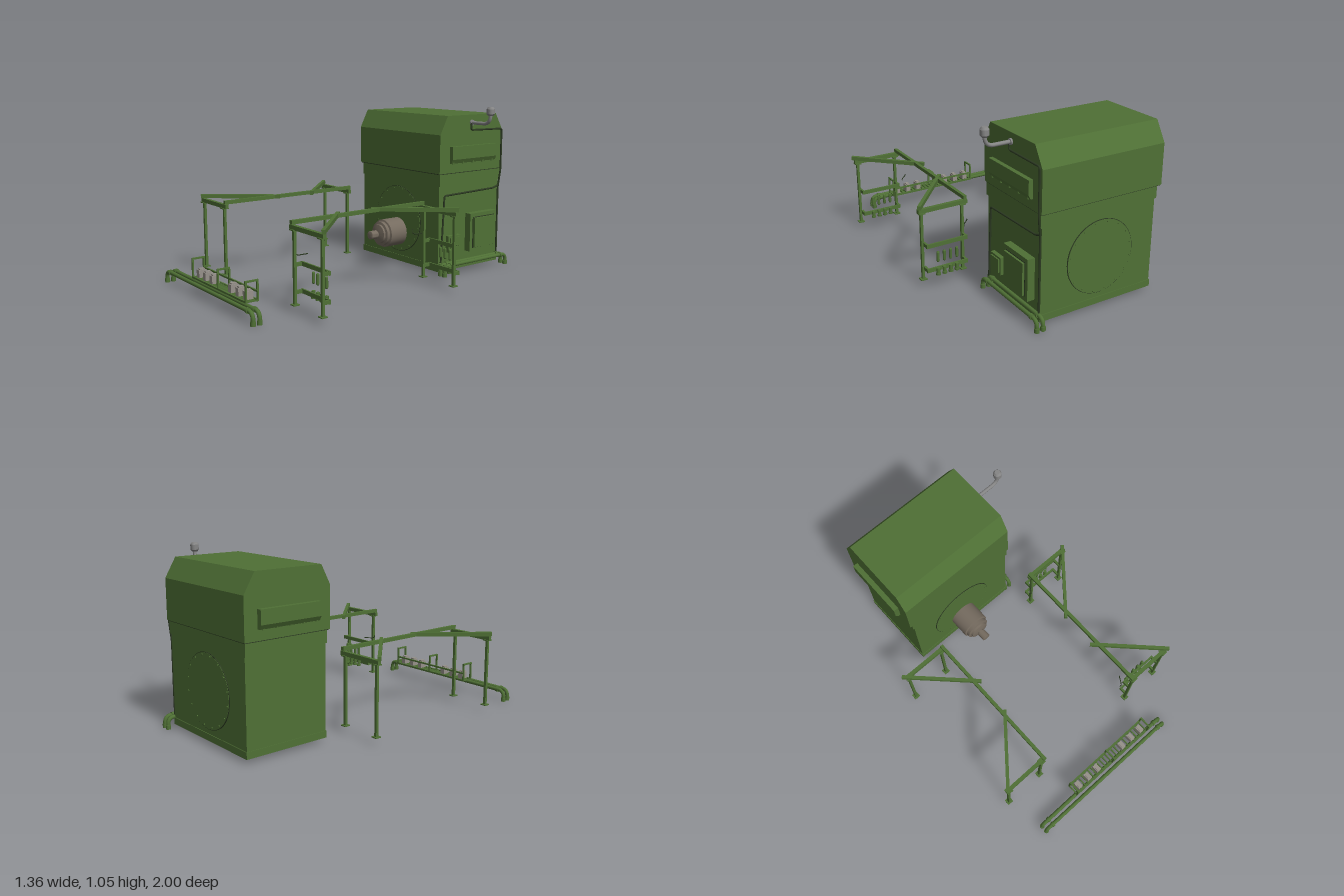
import * as THREE from 'three';
import { toCreasedNormals } from 'three/addons/utils/BufferGeometryUtils.js';

const paint = (color) => new THREE.MeshStandardMaterial({ color });
const GREEN = paint(0x4f7035), BROWN = paint(0x756b5f), GREY = paint(0x858585), STONE = paint(0x96918a), DARK = paint(0x2c3a22);
const V = (x, y, z) => new THREE.Vector3(x, y, z);

function add(parent, name, geometry, material = GREEN, x = 0, y = 0, z = 0) {
  const mesh = new THREE.Mesh(geometry, material);
  mesh.name = name;
  mesh.position.set(x, y, z);
  parent.add(mesh);
  return mesh;
}
function group(parent, name) {
  const g = new THREE.Group();
  g.name = name;
  parent.add(g);
  return g;
}
// Box given by its limits on each axis
const box = (p, name, x0, x1, y0, y1, z0, z1, m) =>
  add(p, name, new THREE.BoxGeometry(x1 - x0, y1 - y0, z1 - z0), m, (x0 + x1) / 2, (y0 + y1) / 2, (z0 + z1) / 2);
// Square bar between two points
function bar(p, name, a, b, w = 0.022, h = w, m) {
  const mesh = add(p, name, new THREE.BoxGeometry(w, h, a.distanceTo(b)), m);
  mesh.position.copy(a).lerp(b, 0.5);
  mesh.lookAt(b);
  return mesh;
}
const cyl = (p, name, r, h, x, y, z, m, n = 16) => add(p, name, new THREE.CylinderGeometry(r, r, h, n), m, x, y, z);

// Path of straight runs with rounded corners
function roundedPath(pts, r) {
  const path = new THREE.CurvePath();
  let last = pts[0];
  for (let i = 1; i < pts.length - 1; i++) {
    const inn = pts[i].clone().add(pts[i - 1].clone().sub(pts[i]).setLength(r));
    const out = pts[i].clone().add(pts[i + 1].clone().sub(pts[i]).setLength(r));
    path.add(new THREE.LineCurve3(last, inn));
    path.add(new THREE.QuadraticBezierCurve3(inn, pts[i], out));
    last = out;
  }
  path.add(new THREE.LineCurve3(last, pts[pts.length - 1]));
  return path;
}
const pipe = (p, name, pts, r, bend, m, seg = 150) =>
  add(p, name, new THREE.TubeGeometry(roundedPath(pts, bend), seg, r, 10), m);

// Outline in (z, y) pushed along x from x0 to x1
function extrudeX(p, name, outline, x0, x1) {
  const s = new THREE.Shape(outline.map(([z, y]) => new THREE.Vector2(-z, y)));
  const g = new THREE.ExtrudeGeometry(s, { depth: x1 - x0, bevelEnabled: false });
  return add(p, name, g.rotateY(Math.PI / 2), GREEN, x0, 0, 0);
}

// Floor pipe along one axis, elbows turned down at both ends, with collars
function floorPipe(p, a, b) {
  const g = group(p, 'floorPipe');
  const foot = (v) => V(v.x, 0.004, v.z);
  pipe(g, 'pipe', [foot(a), a, b, foot(b)], 0.012, 0.04, GREEN, 200);
  const dir = b.clone().sub(a).normalize();
  for (const [end, s] of [[a, 1], [b, -1]]) {
    cyl(g, 'footCollar', 0.015, 0.024, end.x, 0.012, end.z);
    const c = cyl(g, 'elbowCollar', 0.016, 0.016, 0, 0, 0);
    c.position.copy(end).addScaledVector(dir, s * 0.05);
    c.quaternion.setFromUnitVectors(V(0, 1, 0), dir);
  }
}

function buildMachine(root) {
  const g = group(root, 'machine');
  box(g, 'base', -0.432, 0.32, 0.025, 0.065, -0.947, -0.416);
  box(g, 'body', -0.428, 0.315, 0.065, 0.57, -0.943, -0.42);
  box(g, 'collarBand', -0.438, 0.325, 0.565, 0.643, -0.947, -0.416);
  extrudeX(g, 'hood', [[-0.408, 0.645], [-0.408, 0.885], [-0.468, 1], [-0.892, 1], [-0.96, 0.885], [-0.96, 0.645]], -0.455, 0.33);
  box(g, 'hoodSeam', -0.45, 0.326, 0.64, 0.648, -0.955, -0.412, DARK);

  // Round covers with bolt rings, front and back
  for (const [z, s] of [[-0.42, 1], [-0.943, -1]]) {
    const c = group(g, 'roundCover');
    c.position.set(-0.065, 0.31, z);
    cyl(c, 'coverRim', 0.217, 0.008, 0, 0, 0, DARK, 64).rotation.x = Math.PI / 2;
    cyl(c, 'coverPlate', 0.214, 0.012, 0, 0, 0, GREEN, 64).rotation.x = Math.PI / 2;
    for (let i = 0; i < 16; i++) {
      const a = (i + 0.5) * Math.PI / 8;
      cyl(c, 'bolt', 0.005, 0.006, 0.202 * Math.cos(a), 0.202 * Math.sin(a), s * 0.008, GREEN, 8).rotation.x = Math.PI / 2;
    }
  }

  // Stepped motor and shaft
  const profile = [[0, -0.42], [0.09, -0.42], [0.09, -0.287], [0.078, -0.283], [0.078, -0.262], [0.062, -0.258], [0.06, -0.246],
    [0.034, -0.24], [0.018, -0.238], [0.018, -0.228], [0.027, -0.228], [0.027, -0.18], [0.015, -0.176], [0, -0.176]]
    .map(([r, z]) => new THREE.Vector2(r, z));
  add(g, 'motor', toCreasedNormals(new THREE.LatheGeometry(profile, 40), 0.5).rotateX(Math.PI / 2), BROWN, -0.065, 0.225, 0);

  // Side vent boxes with sloping undersides
  for (const [x, s] of [[-0.455, -1], [0.33, 1]]) {
    const d = s > 0 ? 0.026 : 0.031;
    const shape = new THREE.Shape([[0, 0.81], [0, 0.705], [d * 0.5, 0.705], [d, 0.73], [d, 0.81]].map(([a, b]) => new THREE.Vector2(s * a, b)));
    add(g, 'ventBox', new THREE.ExtrudeGeometry(shape, { depth: 0.388, bevelEnabled: false }), GREEN, x, 0, -0.88);
    for (let i = 0; i < 5; i++) cyl(g, 'ventPeg', 0.007, 0.03, x + s * 0.011, 0.715, -0.51 - i * 0.086, GREEN, 10);
  }

  // Cabinets on the left wall
  box(g, 'cabinet', 0.31, 0.36, 0.13, 0.375, -0.887, -0.653);
  box(g, 'cabinetDoorSeam', 0.355, 0.363, 0.152, 0.352, -0.867, -0.675, DARK);
  box(g, 'cabinetDoor', 0.355, 0.376, 0.157, 0.347, -0.862, -0.68);
  box(g, 'switchBox', 0.31, 0.34, 0.143, 0.248, -0.59, -0.485);
  box(g, 'switchBoxLid', 0.335, 0.348, 0.155, 0.236, -0.578, -0.497);

  // Exhaust pipe with cap
  pipe(g, 'exhaustPipe', [V(0.32, 0.95, -0.675), V(0.487, 0.95, -0.675), V(0.487, 1.01, -0.675)], 0.011, 0.055, GREY, 60);
  const flange = cyl(g, 'exhaustFlange', 0.018, 0.01, 0.335, 0.95, -0.675, GREY);
  flange.rotation.z = Math.PI / 2;
  const cap = [[0, 0], [0.016, 0], [0.025, 0.012], [0.025, 0.042], [0.016, 0.055], [0, 0.055]].map((q) => new THREE.Vector2(...q));
  add(g, 'exhaustCap', toCreasedNormals(new THREE.LatheGeometry(cap, 16), 0.5), GREY, 0.487, 1.0, -0.675);

  // Cables down the left wall
  pipe(g, 'upperCable', [V(0.337, 0.95, -0.665), V(0.337, 0.905, -0.665), V(0.336, 0.9, -0.945), V(0.336, 0.63, -0.945),
    V(0.322, 0.52, -0.94), V(0.322, 0.08, -0.94)], 0.006, 0.015, DARK);
  pipe(g, 'lowerCable', [V(0.322, 0.53, -0.94), V(0.322, 0.515, -0.9), V(0.322, 0.505, -0.46), V(0.322, 0.03, -0.435)], 0.006, 0.015, DARK);

  // Service pipes beside the wall
  for (const x of [0.324, 0.362]) floorPipe(g, V(x, 0.068, -0.435), V(x, 0.068, -0.985));
}

function buildTrayRack(root) {
  const g = group(root, 'trayRack');
  for (const z of [0.944, 0.983]) floorPipe(g, V(-0.587, 0.07, z), V(0.44, 0.07, z));
  for (const z of [0.88, 0.951]) {
    box(g, 'trayRail', -0.305, 0.32, 0.083, 0.094, z - 0.005, z + 0.005);
    if (z < 0.9) box(g, 'guardRail', -0.305, 0.32, 0.132, 0.142, z - 0.005, z + 0.005);
  }
  for (let i = 0; i < 25; i++) {
    const x = -0.3 + i * 0.0256;
    box(g, 'trayRung', x - 0.004, x + 0.004, 0.084, 0.092, 0.88, 0.951);
  }
  // Upright hoops
  for (const x of [-0.3, 0.007, 0.315]) {
    for (const z of [0.88, 0.951]) box(g, 'hoopPost', x - 0.005, x + 0.005, 0.083, 0.203, z - 0.005, z + 0.005);
    box(g, 'hoopTop', x - 0.005, x + 0.005, 0.193, 0.203, 0.875, 0.956);
  }
  for (const x of [-0.26, -0.18, -0.1, 0.117, 0.197, 0.277]) {
    box(g, 'block', x - 0.016, x + 0.016, 0.092, 0.138, 0.893, 0.939, STONE);
    box(g, 'blockTop', x - 0.011, x + 0.011, 0.138, 0.146, 0.9, 0.932, STONE);
  }
}

function buildFrame(root, name, side, braces) {
  const g = group(root, name);
  const inner = side * 0.366;
  box(g, 'longBeam', inner - 0.01, inner + 0.01, 0.481, 0.503, -0.245, 0.7);
  for (const z of [-0.235, 0.69]) {
    bar(g, 'crossBeam', V(side * 0.352, 0.467, z), V(side * 0.662, 0.467, z), 0.022, 0.025);
    for (const x of [side * 0.383, side * 0.642]) {
      box(g, 'leg', x - 0.008, x + 0.008, 0.042, 0.455, z - 0.008, z + 0.008);
      for (const y of [0.04, 0.451]) box(g, 'legPlate', x - 0.019, x + 0.019, y, y + 0.006, z - 0.019, z + 0.019);
    }
  }
  for (const [x0, z0, x1, z1] of braces) bar(g, 'diagonalBrace', V(x0, 0.493, z0), V(x1, 0.493, z1), 0.02, 0.024);
  return g;
}

// Tool rails hung between the legs
function buildToolRack(parent, z) {
  const g = group(parent, 'toolRack');
  for (const y of [0.264, 0.112]) {
    box(g, 'toolRail', 0.376, 0.638, y - 0.012, y + 0.012, z - 0.053, z - 0.043);
    for (const x of [0.383, 0.631]) box(g, 'railArm', x - 0.007, x + 0.007, y - 0.01, y + 0.01, z - 0.05, z);
  }
  for (let i = 0; i < 4; i++) {
    const x = 0.458 + i * 0.04;
    add(g, 'toolHandle', new THREE.CapsuleGeometry(0.009, 0.05, 4, 10), GREEN, x, 0.198, z - 0.069);
    cyl(g, 'toolSocket', 0.011, 0.03, x, 0.112, z - 0.069);
    cyl(g, 'toolKnob', 0.014, 0.012, x, 0.09, z - 0.069);
    box(g, 'socketBracket', x - 0.004, x + 0.004, 0.106, 0.118, z - 0.069, z - 0.045);
  }
  const hook = new THREE.CatmullRomCurve3([V(0.375, 0.31, z - 0.01), V(0.345, 0.305, z + 0.04), V(0.33, 0.315, z + 0.045), V(0.325, 0.33, z + 0.04)]);
  if (z < 0) add(g, 'hook', new THREE.TubeGeometry(hook, 16, 0.003, 6), DARK);
  else add(g, 'hook', new THREE.TubeGeometry(hook, 16, 0.003, 6), DARK, 0, 0, -0.08);
}

export function createModel() {
  const root = new THREE.Group();
  root.name = 'workshop';
  buildMachine(root);
  buildTrayRack(root);
  buildFrame(root, 'rightFrame', -1, [[-0.675, -0.25, -0.33, 0.092], [-0.66, 0.705, -0.345, 0.322]]);
  const left = buildFrame(root, 'leftFrame', 1, [[0.66, -0.25, 0.335, 0.132], [0.325, 0.36, 0.67, 0.705]]);
  for (const z of [-0.235, 0.69]) buildToolRack(left, z);
  return root;
}
